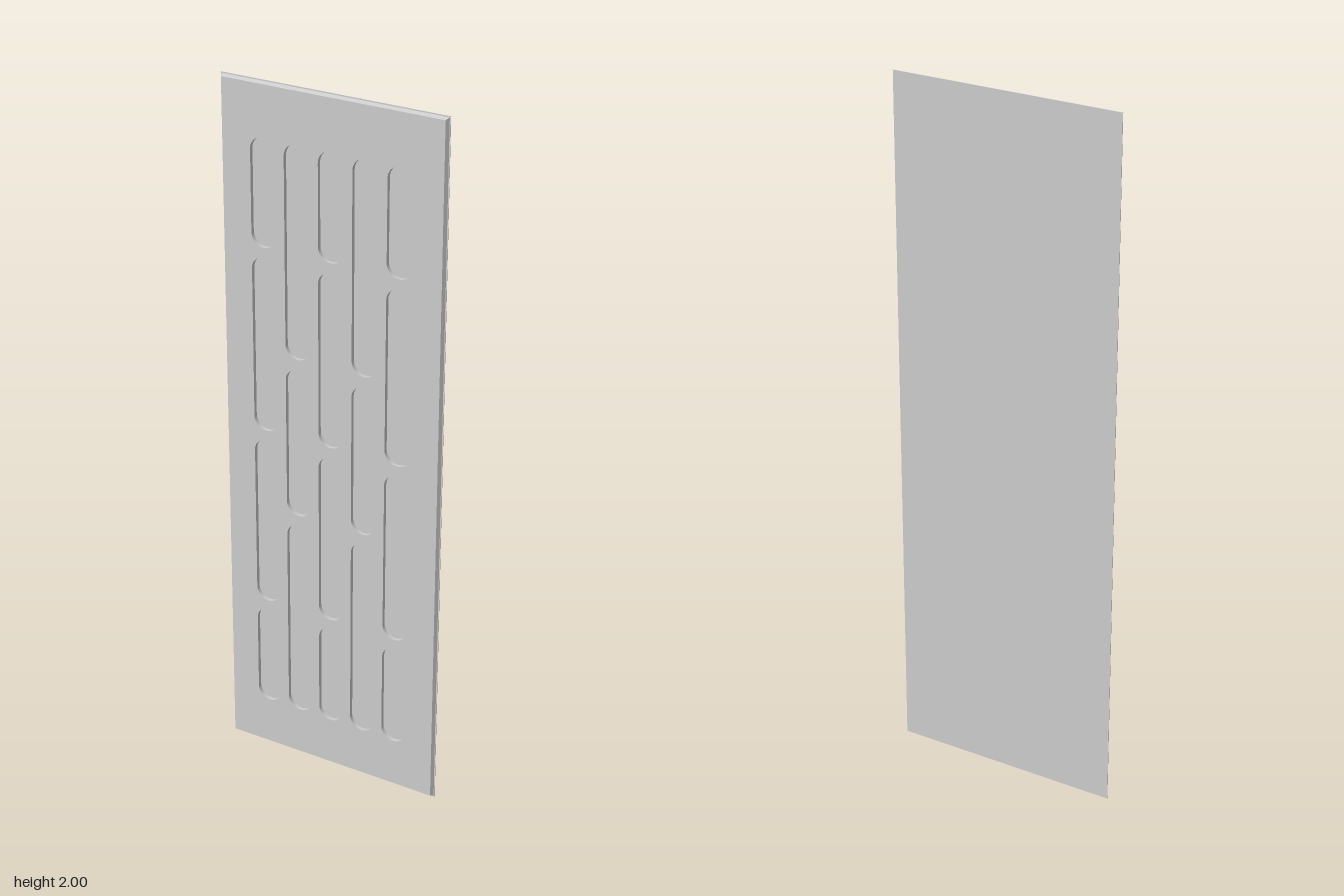
import * as THREE from 'three';

const HALF_Z = 0.0065, LIP = 0.0015, W = 0.666, H = 2;
const SLOT_W = 0.075, PITCH = 0.1015;

// Rounded slot outline between two heights
function slot(x, y0, y1) {
  const r = SLOT_W / 2, p = new THREE.Path();
  p.moveTo(x + r, y0 + r);
  p.lineTo(x + r, y1 - r);
  p.absarc(x, y1 - r, r, 0, Math.PI, false);
  p.lineTo(x - r, y0 + r);
  p.absarc(x, y0 + r, r, Math.PI, Math.PI * 2, false);
  return p;
}

export function createModel() {
  const group = new THREE.Group();
  group.name = 'slottedPanel';
  const material = new THREE.MeshStandardMaterial({ color: 0xcccccc, flatShading: true });

  // Thin backing sheet, which forms the floor of every slot
  const back = new THREE.Mesh(new THREE.BoxGeometry(W, H, LIP), material);
  back.name = 'backPlate';
  back.position.set(0, H / 2, -HALF_Z + LIP / 2);
  group.add(back);

  // Front slab, pierced by five staggered columns of slots
  const hw = W / 2 - 0.003, y0 = 0.003, y1 = H - 0.003;
  const shape = new THREE.Shape();
  shape.moveTo(-hw, y0);
  shape.lineTo(hw, y0);
  shape.lineTo(hw, y1);
  shape.lineTo(-hw, y1);
  shape.closePath();
  const fourSlots = [[0.15, 0.452], [0.48, 0.985], [1.015, 1.52], [1.548, 1.85]];
  const threeSlots = [[0.15, 0.75], [0.78, 1.22], [1.25, 1.85]];
  for (let c = -2; c <= 2; c++) {
    for (const [a, b] of c % 2 ? threeSlots : fourSlots) shape.holes.push(slot(c * PITCH, a, b));
  }
  const depth = 2 * HALF_Z - LIP;
  const geometry = new THREE.ExtrudeGeometry(shape, { depth, bevelEnabled: false, curveSegments: 16 });

  // Draw in the outer rim at the front so the slab's sides slope
  const pos = geometry.attributes.position, inset = 0.005;
  for (let i = 0; i < pos.count; i++) {
    const x = pos.getX(i), y = pos.getY(i);
    if (Math.abs(x) < 0.3 || pos.getZ(i) < depth / 2) continue;
    pos.setX(i, x - Math.sign(x) * inset);
    pos.setY(i, y + (y < 1 ? inset : -inset));
  }
  geometry.computeVertexNormals();
  const front = new THREE.Mesh(geometry, material);
  front.name = 'slottedFront';
  front.position.z = -HALF_Z + LIP;
  group.add(front);
  return group;
}
